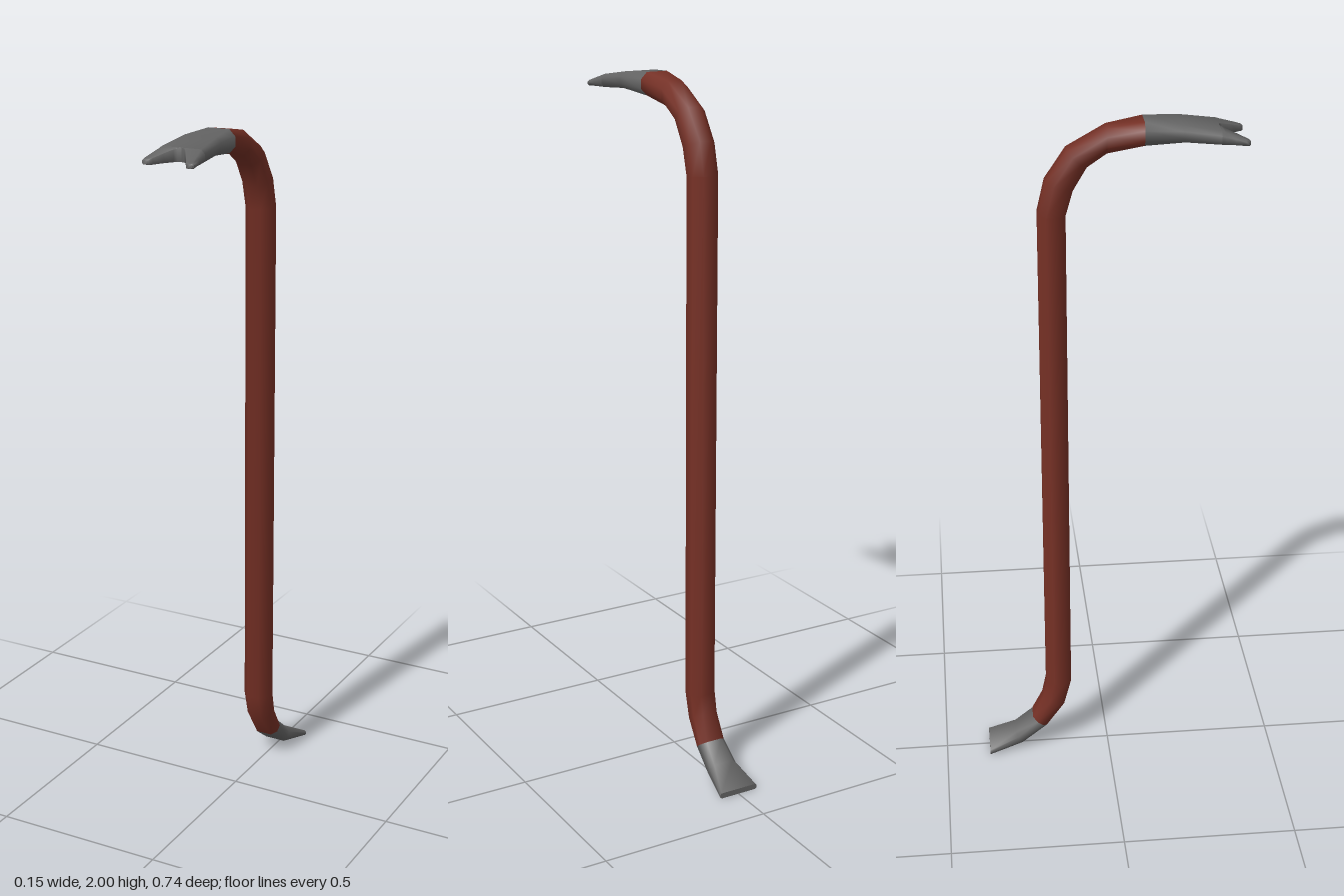
import * as THREE from 'three';
import { toCreasedNormals } from 'three/addons/utils/BufferGeometryUtils.js';

// Station: [outerZ, outerY, innerZ, innerY, xMin, xMax]; returns a chamfered rectangular ring
function ring([oz, oy, iz, iy, x0, x1], cutMin, cutMax) {
  const h = Math.hypot(oz - iz, oy - iy);
  const c = 0.29 * Math.min(x1 - x0, h);
  const a = cutMin ? c : 0.0005, b = cutMax ? c : 0.0005;
  const at = (x, d) => [x, iy + (oy - iy) * d / h, iz + (oz - iz) * d / h];
  return [
    at(x0 + a, 0), at(x1 - b, 0), at(x1, b), at(x1, h - b),
    at(x1 - b, h), at(x0 + a, h), at(x0, h - a), at(x0, a),
  ];
}

// Skin a list of stations, closing both ends
function loft(name, stations, material, cutMin = true, cutMax = true) {
  const rings = stations.map((s) => ring(s, cutMin, cutMax));
  const n = 8, index = [], last = (rings.length - 1) * n;
  for (let i = 0; i < rings.length - 1; i++) {
    for (let j = 0; j < n; j++) {
      const a = i * n + j, b = i * n + (j + 1) % n;
      index.push(a, b, b + n, a, b + n, a + n);
    }
  }
  for (let j = 1; j < n - 1; j++) {
    index.push(0, j + 1, j, last, last + j, last + j + 1);
  }
  const geo = new THREE.BufferGeometry();
  geo.setAttribute('position', new THREE.Float32BufferAttribute(rings.flat(2), 3));
  geo.setIndex(index);
  const mesh = new THREE.Mesh(toCreasedNormals(geo, 0.9), material);
  mesh.name = name;
  return mesh;
}

// Symmetric station
const st = (oz, oy, iz, iy, w) => [oz, oy, iz, iy, -w, w];

export function createModel() {
  const red = new THREE.MeshStandardMaterial({ color: 0x742f24 });
  red.name = 'red paint';
  const steel = new THREE.MeshStandardMaterial({ color: 0x646464 });
  steel.name = 'bare steel';
  const group = new THREE.Group();
  group.name = 'pryBar';

  // Flat chisel at the foot
  const footJoint = st(-0.232, 0.109, -0.19, 0.077, 0.04);
  group.add(loft('chiselFoot', [
    st(-0.368, 0.016, -0.368, 0.0, 0.061),
    st(-0.285, 0.061, -0.267, 0.02, 0.044),
    footJoint,
  ], steel));

  // Painted shaft with both bends
  const hookJoint = st(0.095, 2.0, 0.095, 1.936, 0.05);
  group.add(loft('shaft', [
    footJoint,
    st(-0.2, 0.177, -0.135, 0.151, 0.039),
    st(-0.188, 0.236, -0.113, 0.236, 0.04),
    st(-0.188, 1.75, -0.113, 1.745, 0.04),
    st(-0.167, 1.84, -0.093, 1.814, 0.04),
    st(-0.109, 1.925, -0.056, 1.878, 0.04),
    st(-0.003, 1.984, -0.003, 1.915, 0.041),
    hookJoint,
  ], red));

  // Solid part of the claw
  group.add(loft('clawBase', [
    hookJoint,
    st(0.19, 1.994, 0.2, 1.947, 0.061),
    st(0.294, 1.978, 0.294, 1.941, 0.068),
  ], steel));

  // Two prongs around the rounded notch: [z, topY, bottomY, innerX, outerX]
  const prong = [
    [0.294, 1.978, 1.941, 0.0, 0.068],
    [0.297, 1.977, 1.941, 0.01, 0.0685],
    [0.305, 1.974, 1.941, 0.017, 0.069],
    [0.33, 1.966, 1.941, 0.033, 0.072],
    [0.356, 1.957, 1.94, 0.049, 0.076],
    [0.364, 1.954, 1.94, 0.053, 0.076],
    [0.368, 1.952, 1.941, 0.058, 0.072],
  ];
  group.add(loft('leftProng',
    prong.map(([z, t, b, i, o]) => [z, t, z, b, i, o]), steel, false, true));
  group.add(loft('rightProng',
    prong.map(([z, t, b, i, o]) => [z, t, z, b, -o, -i]), steel, true, false));

  return group;
}
